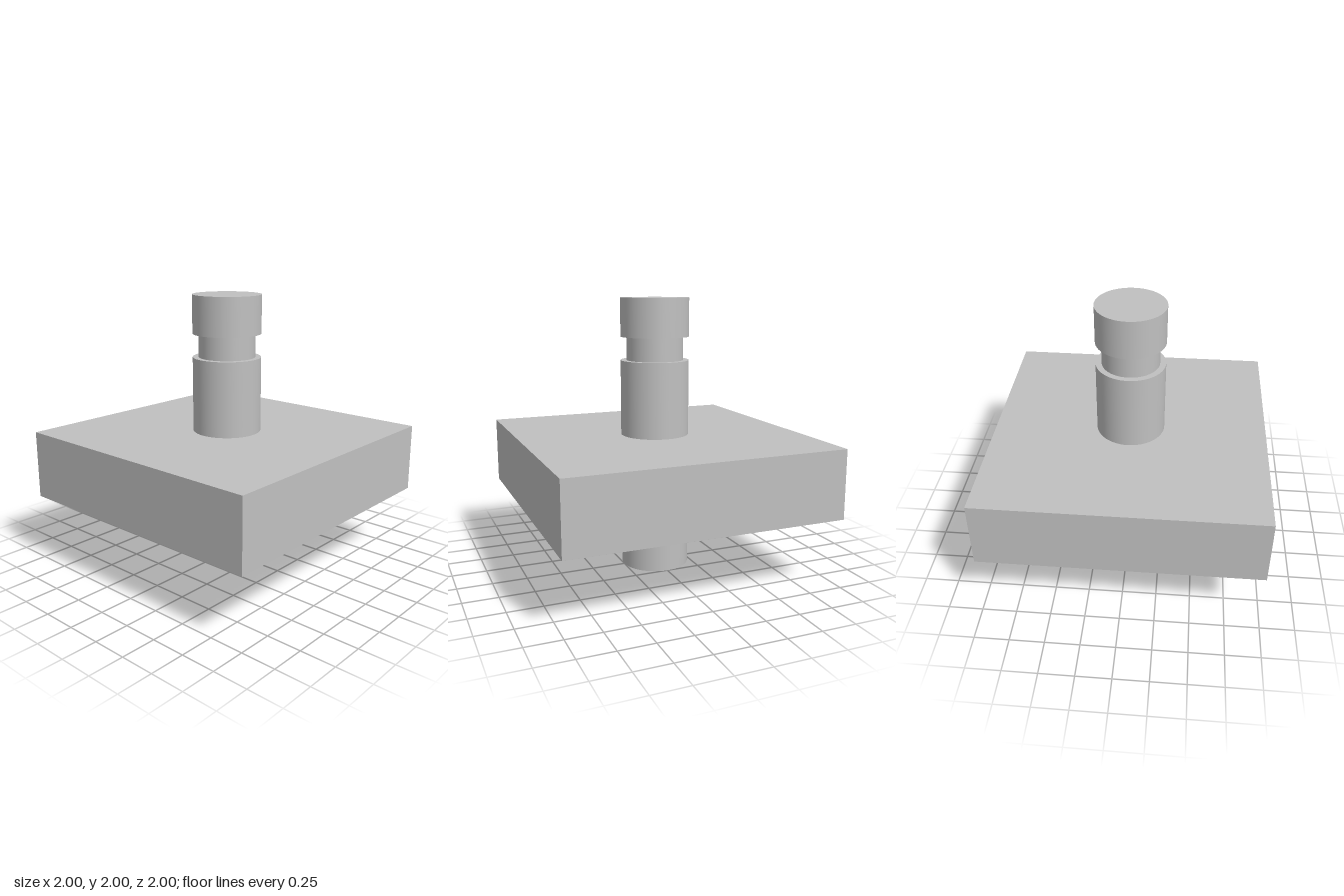
import * as THREE from 'three';

export function createModel() {
  const model = new THREE.Group();
  model.name = 'grooved pin through plate';

  const grey = new THREE.MeshStandardMaterial({ color: 0xc0c0c0 });
  grey.name = 'plain grey';

  function add(name, geometry, bottom, top) {
    const mesh = new THREE.Mesh(geometry, grey);
    mesh.name = name;
    mesh.position.y = (bottom + top) / 2;
    model.add(mesh);
  }

  // Round section of the pin between two heights
  function pinSection(name, radius, bottom, top, openEnded = false) {
    add(name, new THREE.CylinderGeometry(radius, radius, top - bottom, 96, 1, openEnded), bottom, top);
  }

  // Square plate
  add('plate', new THREE.BoxGeometry(2, 0.5, 2), 0.5, 1);

  // Pin, from the foot up to the head above the groove
  pinSection('lowerPin', 0.25, 0, 0.5);
  pinSection('upperPin', 0.25, 1, 1.55);
  pinSection('grooveNeck', 0.207, 1.55, 1.72, true);
  pinSection('pinHead', 0.25, 1.72, 2);

  return model;
}
